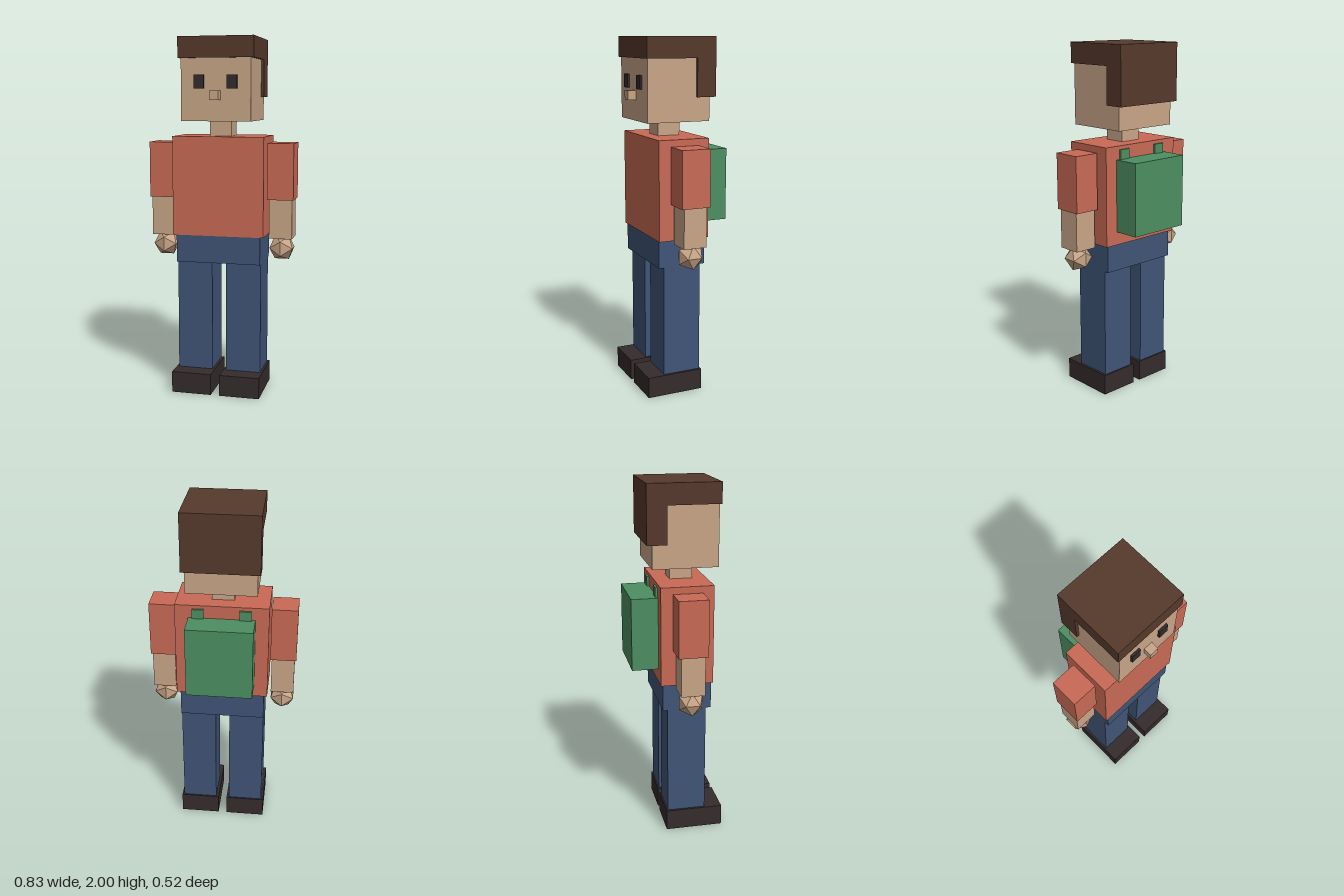
import * as THREE from 'three';

export function createModel() {
  const model = new THREE.Group();
  model.name = 'blockFigure';

  const paint = (name, color) => {
    const m = new THREE.MeshStandardMaterial({ color });
    m.name = name;
    return m;
  };
  const skin = paint('skin', 0xc9a688);
  const hair = paint('hair brown', 0x56392c);
  const shirt = paint('shirt red', 0xc96a55);
  const denim = paint('trouser blue', 0x405577);
  const dark = paint('shoe black', 0x352b2c);
  const green = paint('backpack green', 0x4d8f62);

  // Box given by its extents on each axis
  const block = (name, material, [x0, x1], [y0, y1], [z0, z1]) => {
    const mesh = new THREE.Mesh(new THREE.BoxGeometry(x1 - x0, y1 - y0, z1 - z0), material);
    mesh.position.set((x0 + x1) / 2, (y0 + y1) / 2, (z0 + z1) / 2);
    mesh.name = name;
    model.add(mesh);
  };
  // The same box on the left (+x) and right (-x)
  const pair = (name, material, [x0, x1], y, z) => {
    block('left' + name, material, [x0, x1], y, z);
    block('right' + name, material, [-x1, -x0], y, z);
  };

  // Trunk
  block('torso', shirt, [-0.259, 0.259], [0.905, 1.46], [-0.115, 0.179]);
  block('pelvis', denim, [-0.24, 0.24], [0.75, 0.905], [-0.102, 0.173]);
  block('neck', skin, [-0.062, 0.062], [1.46, 1.545], [-0.028, 0.1]);

  // Legs and shoes
  pair('Leg', denim, [0.04, 0.24], [0.12, 0.75], [-0.075, 0.144]);
  pair('Shoe', dark, [0.025, 0.253], [0, 0.12], [-0.083, 0.244]);

  // Arms and faceted hands
  pair('Sleeve', shirt, [0.268, 0.414], [1.11, 1.424], [-0.05, 0.114]);
  pair('Forearm', skin, [0.276, 0.406], [0.89, 1.11], [-0.034, 0.099]);
  for (const [side, s] of [['left', 1], ['right', -1]]) {
    const hand = new THREE.Mesh(new THREE.IcosahedronGeometry(0.077, 0), skin);
    hand.position.set(s * 0.341, 0.832, 0.033);
    hand.name = side + 'Hand';
    model.add(hand);
  }

  // Head and face
  block('head', skin, [-0.195, 0.195], [1.545, 1.9], [-0.148, 0.217]);
  block('nose', skin, [-0.026, 0.026], [1.659, 1.71], [0.21, 0.262]);
  pair('Eye', dark, [0.065, 0.12], [1.72, 1.795], [0.222, 0.23]);
  pair('EyeBacking', dark, [0.065, 0.12], [1.72, 1.795], [0.213, 0.222]);

  // Hair: cap on top and a slab down the back
  block('hairTop', hair, [-0.211, 0.211], [1.885, 2], [-0.179, 0.226]);
  block('hairBack', hair, [-0.211, 0.211], [1.677, 1.885], [-0.179, -0.068]);

  // Backpack with two short straps
  block('backpack', green, [-0.184, 0.184], [0.98, 1.386], [-0.263, -0.113]);
  pair('Strap', green, [0.098, 0.162], [1.04, 1.44], [-0.127, -0.11]);

  return model;
}
